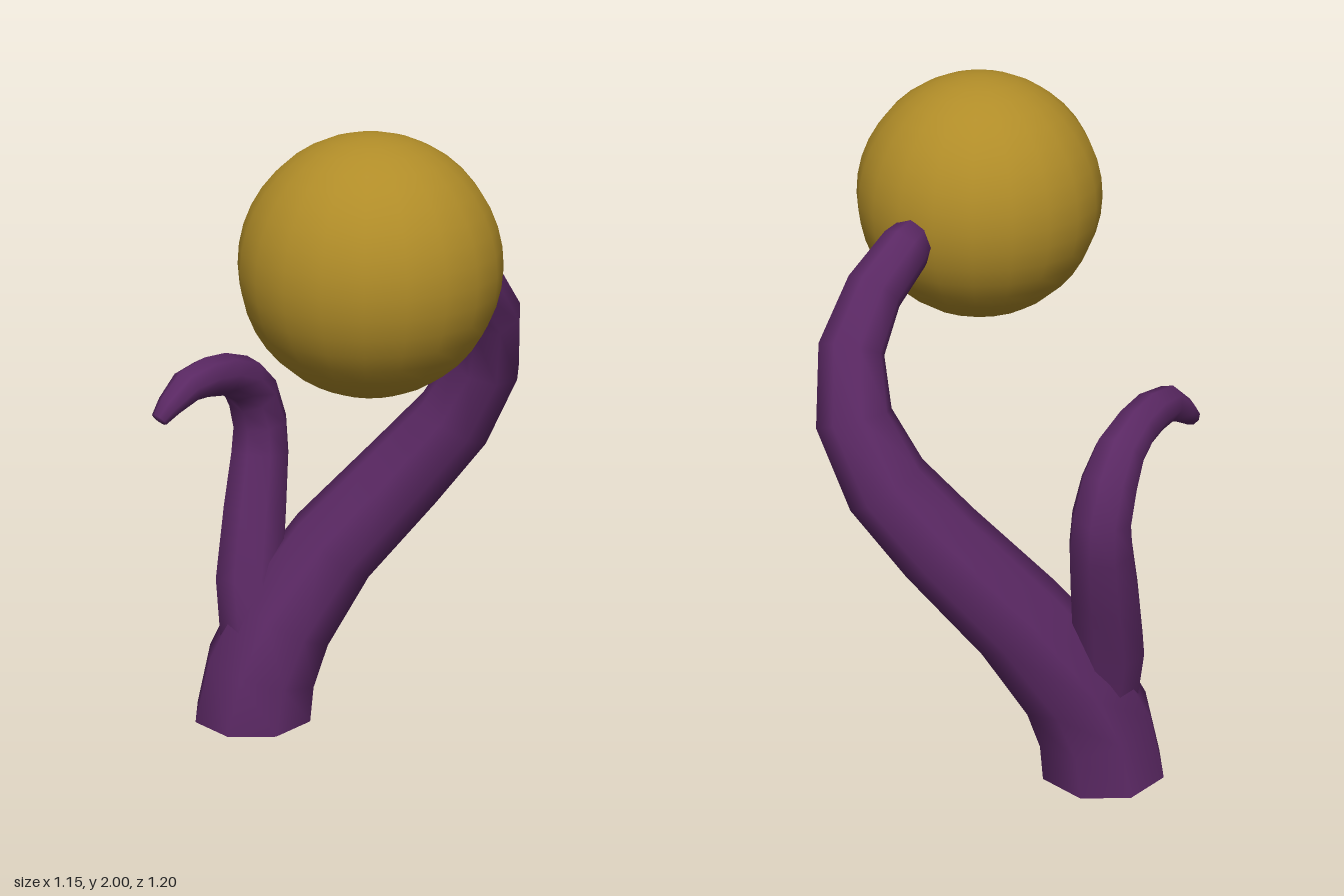
import * as THREE from 'three';

const SIDES = 8;

// Smooth tapered limb through stations [x, y, z, radius], rings carried along the path.
function limb(stations, firstTangent) {
  const pts = stations.map(s => new THREE.Vector3(s[0], s[1], s[2]));
  const pos = [], index = [];
  const u = new THREE.Vector3(1, 0, 0), v = new THREE.Vector3(), t = new THREE.Vector3();
  const last = pts.length - 1;
  pts.forEach((p, i) => {
    // average the directions of the neighbouring spans
    t.set(0, 0, 0);
    if (i > 0) t.add(p.clone().sub(pts[i - 1]).normalize());
    if (i < last) t.add(pts[i + 1].clone().sub(p).normalize());
    if (i === 0 && firstTangent) t.copy(firstTangent);
    t.normalize();
    u.addScaledVector(t, -u.dot(t)).normalize();
    v.crossVectors(t, u);
    for (let j = 0; j < SIDES; j++) {
      const a = (j / SIDES) * Math.PI * 2 + 0.305, r = stations[i][3] * 1.04;
      const q = p.clone().addScaledVector(u, Math.cos(a) * r).addScaledVector(v, Math.sin(a) * r);
      pos.push(q.x, q.y, q.z);
    }
  });
  for (let i = 0; i < last; i++) {
    for (let j = 0; j < SIDES; j++) {
      const k = (j + 1) % SIDES;
      const a = i * SIDES + j, b = i * SIDES + k, c = a + SIDES, d = b + SIDES;
      index.push(a, b, c, b, d, c);
    }
  }
  // slightly domed tip
  const tip = pts[last].clone().addScaledVector(t, stations[last][3] * 0.2);
  pos.push(tip.x, tip.y, tip.z);
  for (let j = 0; j < SIDES; j++) {
    index.push(last * SIDES + j, last * SIDES + (j + 1) % SIDES, pos.length / 3 - 1);
  }
  const geo = new THREE.BufferGeometry();
  geo.setAttribute('position', new THREE.Float32BufferAttribute(pos, 3));
  geo.setIndex(index);
  geo.computeVertexNormals();
  return geo;
}

export function createModel() {
  const group = new THREE.Group();
  const purple = new THREE.MeshStandardMaterial({ color: 0x5a2863 });
  purple.name = 'purple skin';
  const gold = new THREE.MeshStandardMaterial({ color: 0xb08c28 });
  gold.name = 'gold';

  const add = (name, geo, mat) => {
    const mesh = new THREE.Mesh(geo, mat);
    mesh.name = name;
    group.add(mesh);
    return mesh;
  };

  // Main tentacle, from the ground up and over to the ball
  add('mainTentacle', limb([
    [0, 0, -0.41, 0.19],
    [0.02, 0.16, -0.39, 0.178],
    [0.08, 0.32, -0.35, 0.165],
    [0.21, 0.55, -0.25, 0.146],
    [0.355, 0.8, -0.075, 0.133],
    [0.44, 0.98, 0.05, 0.122],
    [0.465, 1.17, 0.145, 0.108],
    [0.41, 1.35, 0.197, 0.093],
    [0.3, 1.49, 0.205, 0.082],
    [0.17, 1.58, 0.2, 0.074],
    [0.12, 1.605, 0.2, 0.062],
  ], new THREE.Vector3(0, 1, 0)), purple);

  // Flat underside of the main tentacle
  const base = add('baseCap', new THREE.CircleGeometry(0.19 * 1.04, SIDES, 0.305), purple);
  base.geometry.rotateX(-Math.PI / 2).scale(1, -1, 1);
  base.geometry.index.array.reverse();
  base.geometry.computeVertexNormals();
  base.position.set(0, 0, -0.41);

  // Smaller branch hooking to the side
  add('branchTentacle', limb([
    [0.01, 0.28, -0.41, 0.11],
    [0.03, 0.45, -0.445, 0.108],
    [0.09, 0.66, -0.47, 0.101],
    [0.14, 0.83, -0.49, 0.092],
    [0.147, 0.93, -0.495, 0.085],
    [0.117, 1.03, -0.497, 0.08],
    [0.055, 1.095, -0.485, 0.072],
    [-0.04, 1.135, -0.472, 0.063],
    [-0.13, 1.15, -0.462, 0.059],
    [-0.22, 1.145, -0.458, 0.052],
    [-0.29, 1.1, -0.467, 0.037],
    [-0.33, 1.065, -0.472, 0.025],
  ]), purple);

  // Ball held at the tip
  add('ball', new THREE.SphereGeometry(0.366, 20, 20), gold).position.set(-0.21, 1.634, 0.234);

  return group;
}
